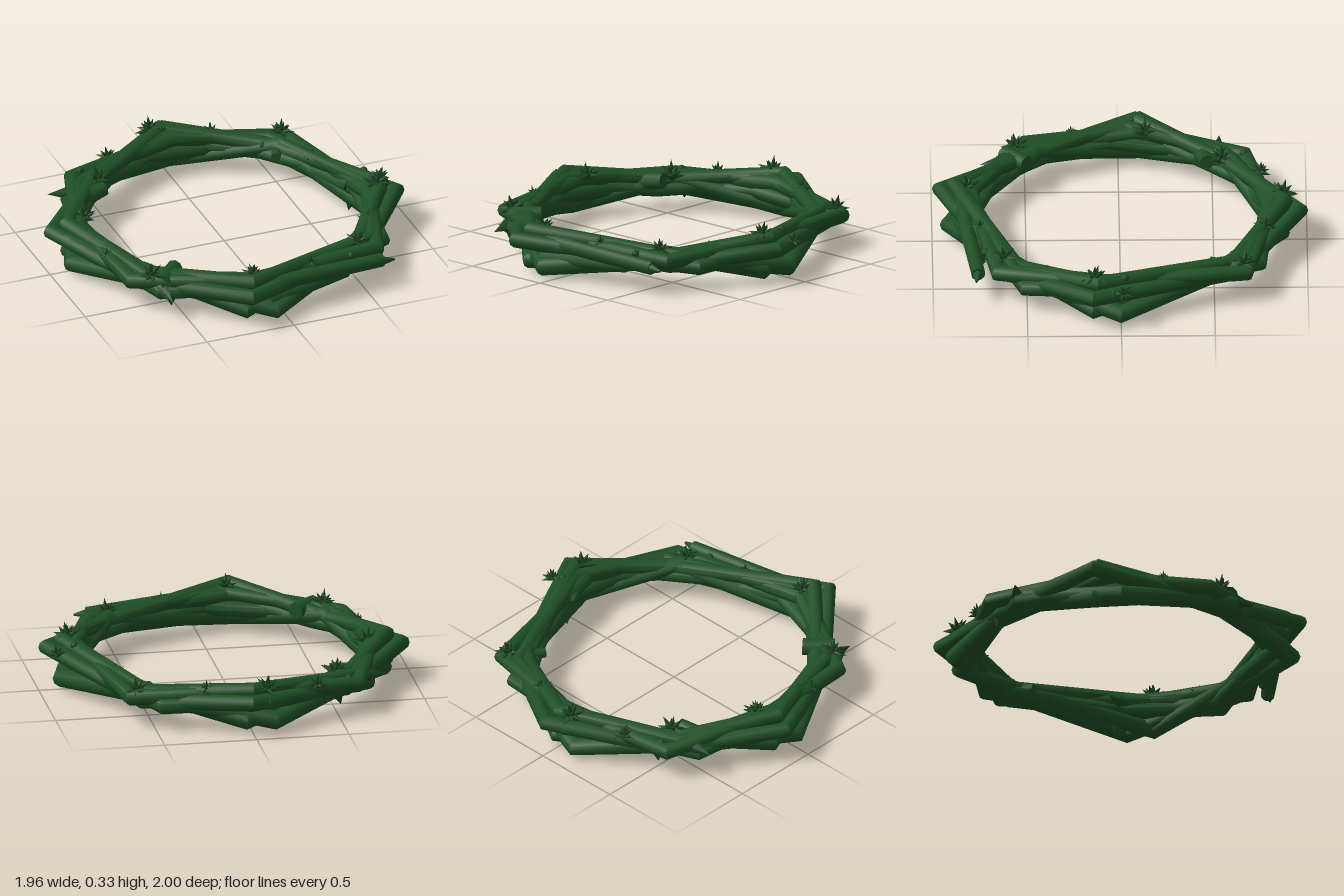
import * as THREE from 'three';
import { toCreasedNormals } from 'three/addons/utils/BufferGeometryUtils.js';

const vine = new THREE.MeshStandardMaterial({ color: 0x1f4f25 });
const leaf = new THREE.MeshStandardMaterial({ color: 0x1b4520 });
const UP = new THREE.Vector3(0, 1, 0);

// Eight bends shared by all vines: angle in degrees from +x towards +z, and radius factor
const BENDS = [[9, 0.99], [46, 1.0], [103, 1.03], [145, 0.99], [187, 1], [227, 1.01], [271, 1.01], [312, 1.02]];

// Closed angular vine: a torus whose rings are moved to the bends
function vineLoop({ turn, r, y, thick, wobble = 0 }) {
  const sides = 10, n = BENDS.length;
  const geo = new THREE.TorusGeometry(1, thick, sides, n);
  const pos = geo.attributes.position;
  for (let j = 0; j <= sides; j++) {
    for (let i = 0; i <= n; i++) {
      const k = i % n, odd = k % 2;
      const a = THREE.MathUtils.degToRad(BENDS[k][0] + turn);
      const t = -(j / sides) * Math.PI * 2;
      const radius = r[odd] * BENDS[k][1] + wobble * Math.sin(k * 2.3) + thick * 1.08 * Math.cos(t);
      const height = y[odd] + wobble * 0.5 * Math.cos(k * 1.7) + thick * Math.sin(t);
      pos.setXYZ(j * (n + 1) + i, Math.cos(a) * radius, height, Math.sin(a) * radius);
    }
  }
  const mesh = new THREE.Mesh(toCreasedNormals(geo, 0.75), vine);
  mesh.name = 'vine';
  return mesh;
}

// Straight tapered piece from one point to another
function taper(name, from, to, r0, r1, sides, material) {
  const a = new THREE.Vector3(...from), d = new THREE.Vector3(...to).sub(a);
  const geo = new THREE.CylinderGeometry(r1, r0, d.length(), sides).translate(0, d.length() / 2, 0);
  const mesh = new THREE.Mesh(geo, material);
  mesh.name = name;
  mesh.position.copy(a);
  mesh.quaternion.setFromUnitVectors(UP, d.normalize());
  return mesh;
}

// Rosette of pointed leaves fanning out around a central spike
function rosette(x, y, z, size) {
  const g = new THREE.Group();
  g.name = 'leafRosette';
  const spike = (angle, lift, length) => {
    const c = Math.cos(lift) * length;
    g.add(taper('leafSpike', [0, 0, 0], [Math.cos(angle) * c, Math.sin(lift) * length, Math.sin(angle) * c], size * 0.27, 0, 5, leaf));
  };
  for (let i = 0; i < 9; i++) spike(i * Math.PI * 2 / 9 + x * 5, i % 2 ? 0.05 : 0.3, size * (i % 3 ? 1 : 0.85));
  for (let i = 0; i < 5; i++) spike(i * Math.PI * 2 / 5 + z * 5, 0.9, size * 0.8);
  spike(0, Math.PI / 2, size);
  g.position.set(x, y, z);
  g.rotation.set(z * 0.25, 0, -x * 0.25);
  return g;
}

export function createModel() {
  const model = new THREE.Group();
  model.name = 'vineWreath';

  // Interwoven vines; r and y are given for the outer bends and the bends between
  const vines = new THREE.Group();
  vines.name = 'vines';
  [
    { turn: 0, r: [0.95, 0.81], y: [0.19, 0.125], thick: 0.043 },
    { turn: -9, r: [0.88, 0.82], y: [0.062, 0.16], thick: 0.05 },
    { turn: -1, r: [0.87, 0.78], y: [0.235, 0.165], thick: 0.043 },
    { turn: 1, r: [0.8, 0.895], y: [0.2, 0.165], thick: 0.044 },
    { turn: -10, r: [0.78, 0.86], y: [0.14, 0.125], thick: 0.042, wobble: 0.01 },
    { turn: 1, r: [0.85, 0.78], y: [0.06, 0.175], thick: 0.047 },
    { turn: -6, r: [0.89, 0.77], y: [0.18, 0.12], thick: 0.04, wobble: 0.012 },
    { turn: -4, r: [0.81, 0.83], y: [0.215, 0.18], thick: 0.038, wobble: 0.01 },
  ].forEach(v => vines.add(vineLoop(v)));
  model.add(vines);

  // Loose cut vine ends poking out of the bundle: start, end, radii
  [
    [[-0.18, 0.19, 0.86], [0.6, 0.15, 0.76], 0.045, 0.038],
    [[-0.1, 0.1, 0.87], [0.4, 0.12, 0.75], 0.045, 0.035],
    [[0.55, 0.15, 0.765], [0.67, 0.145, 0.77], 0.038, 0.006],
    [[-0.6, 0.18, 0.61], [-0.48, 0.19, 0.49], 0.05, 0.045],
    [[0.6, 0.17, -0.66], [0.49, 0.16, -0.48], 0.045, 0.025],
    [[-0.64, 0.16, -0.44], [-0.5, 0.18, -0.47], 0.05, 0.04],
  ].forEach(([a, b, r0, r1]) => model.add(taper('vineEnd', a, b, r0, r1, 9, vine)));

  // Leaf rosettes along the wreath: x, y, z, size
  [
    [-0.08, 0.24, -0.87, 0.085], [0.23, 0.215, -0.77, 0.065], [-0.37, 0.2, -0.75, 0.065],
    [-0.51, 0.195, -0.54, 0.09], [-0.75, 0.225, -0.14, 0.08], [0.59, 0.2, -0.66, 0.08],
    [0.64, 0.19, -0.34, 0.06], [0.9, 0.2, -0.01, 0.06], [0.82, 0.25, 0.14, 0.085],
    [0.66, 0.19, 0.39, 0.06], [0.52, 0.2, 0.62, 0.08], [0.2, 0.21, 0.74, 0.045],
    [-0.16, 0.24, 0.81, 0.075], [-0.64, 0.205, 0.55, 0.08], [-0.77, 0.2, 0.25, 0.05],
    [-0.6, 0.13, 0.62, 0.06],
  ].forEach(p => model.add(rosette(...p)));

  // Single thorns
  [
    [[-0.66, 0.16, -0.53], [-0.8, 0.17, -0.54]],
    [[-0.6, 0.14, 0.6], [-0.59, 0.12, 0.74]],
    [[0.75, 0.1, -0.05], [0.74, 0.0, -0.06]],
    [[0.72, 0.18, -0.03], [0.67, 0.2, -0.09]],
    [[-0.56, 0.12, 0.63], [-0.56, 0.05, 0.64]],
    [[-0.5, 0.12, -0.64], [-0.52, 0.05, -0.65]],
  ].forEach(([a, b]) => model.add(taper('thorn', a, b, 0.042, 0, 5, leaf)));

  // Small round buds
  [[0.44, 0.19, 0.72], [0.81, 0.25, -0.02], [-0.56, 0.2, -0.67], [0.46, 0.18, -0.6]].forEach(p => {
    const bud = new THREE.Mesh(new THREE.SphereGeometry(0.022, 8, 6), leaf);
    bud.name = 'bud';
    bud.position.set(...p);
    model.add(bud);
  });
  return model;
}
